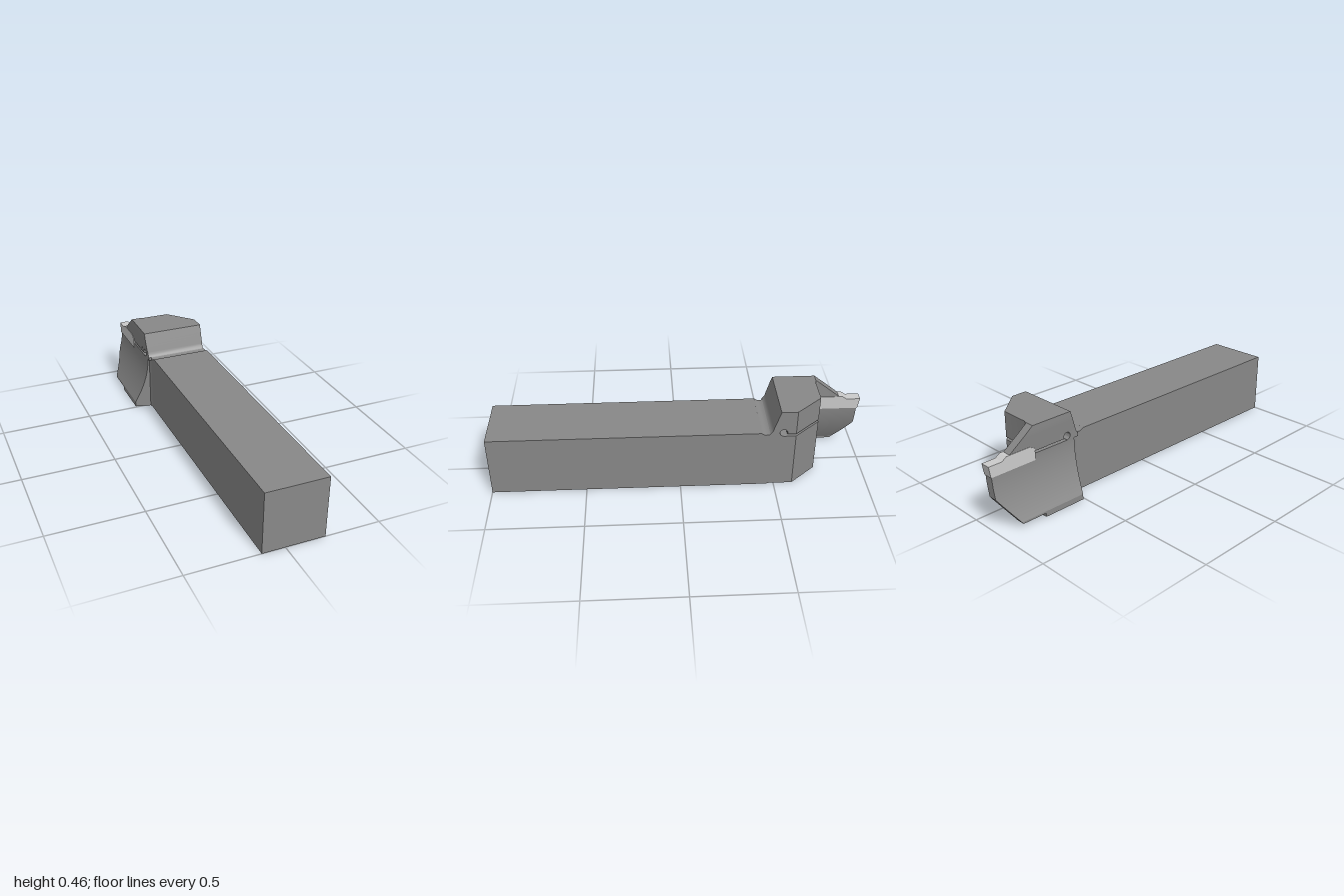
import * as THREE from 'three';
import { toCreasedNormals } from 'three/addons/utils/BufferGeometryUtils.js';

const steel = new THREE.MeshStandardMaterial({ color: 0x888888 });
const carbide = new THREE.MeshStandardMaterial({ color: 0xcccccc });

function mesh(name, geometry, material) {
  const m = new THREE.Mesh(toCreasedNormals(geometry, 0.45), material);
  m.name = name;
  return m;
}

// Side profile, drawn with (-z, y), extruded across x.
function across(shape, x0, x1) {
  const g = new THREE.ExtrudeGeometry(shape, { depth: x1 - x0, bevelEnabled: false, curveSegments: 24 });
  return g.rotateY(Math.PI / 2).translate(x0, 0, 0);
}

const profile = (pts) => new THREE.Shape(pts.map(([z, y]) => new THREE.Vector2(-z, y)));

// Solid from plan outlines (x, z) stacked at heights ys, counter-clockwise from above.
function stack(ys, plan) {
  const rings = ys.map((y) => plan(y).map(([x, z]) => [x, y, z]));
  const pos = [];
  const tri = (a, b, c) => pos.push(...a, ...b, ...c);
  const n = rings[0].length;
  for (let k = 0; k + 1 < rings.length; k++) {
    const a = rings[k], b = rings[k + 1];
    for (let i = 0; i < n; i++) {
      const j = (i + 1) % n;
      tri(a[i], a[j], b[j]);
      tri(a[i], b[j], b[i]);
    }
  }
  const cap = (r, flip) => {
    const contour = r.map((p) => new THREE.Vector2(p[0], -p[2]));
    for (const [a, b, c] of THREE.ShapeUtils.triangulateShape(contour, [])) {
      if (flip) tri(r[a], r[c], r[b]);
      else tri(r[a], r[b], r[c]);
    }
  };
  cap(rings[0], true);
  cap(rings[rings.length - 1], false);
  const g = new THREE.BufferGeometry();
  g.setAttribute('position', new THREE.Float32BufferAttribute(pos, 3));
  return g;
}

const range = (a, b, n) => Array.from({ length: n + 1 }, (_, i) => a + ((b - a) * i) / n);

// Concave flank of the head and blade.
function flankX(y) {
  if (y < 0.3) return -0.133 - 0.079 * Math.pow(Math.min(1, (0.3 - y) / 0.27), 1.87);
  return -0.133 - 0.007 * Math.min(1, (y - 0.3) / 0.12);
}

// Right and rear outline: chamfered corner, fillet, then the thin blade.
function rearOutline(y, frontZ, endZ) {
  const outer = flankX(y), inner = outer + 0.046;
  const pts = [[0.204, frontZ], [0.204, -0.6], [0.08, -0.74]];
  for (let i = 0; i <= 5; i++) {
    const a = (i / 5) * Math.PI / 2;
    pts.push([inner + 0.025 * (1 - Math.sin(a)), Math.max(endZ, -0.765 + 0.025 * Math.cos(a))]);
  }
  pts.push([inner, endZ], [outer, endZ]);
  return pts;
}

function lowerPlan(y) {
  const x = flankX(y);
  let end = -0.745;
  if (y >= 0.02) end = -0.88 - 0.105 * Math.min(1, (y - 0.02) / 0.145);
  return [[x, -0.488 + 0.25 * (x + 0.125)], [-0.125, -0.488], [-0.12, -0.465], ...rearOutline(y, -0.465, end)];
}

const clampEnd = (y) => Math.max(-0.9, -0.745 - 0.155 * (0.457 - y) / 0.12);

function upperPlan(y) {
  const front = -0.4815 - 0.0335 * (y - 0.352) / 0.105;
  return [[flankX(y), front], ...rearOutline(y, front, clampEnd(y))];
}

function jawPlan(y) {
  return [[flankX(y), -0.58], ...rearOutline(y, -0.58, clampEnd(y))];
}

export function createModel() {
  const model = new THREE.Group();
  model.name = 'groovingToolHolder';

  // Square shank with a relief groove before the head
  const shank = profile([[1, 0], [-0.465, 0], [-0.465, 0.326], [-0.455, 0.322],
    [-0.44, 0.322], [-0.43, 0.326], [-0.42, 0.333], [1, 0.333]]);
  model.add(mesh('shank', across(shank, -0.12, 0.209), steel));

  // Lower head with the curved support blade
  const ys = [0, 0.0199, 0.02, 0.03, ...range(0.045, 0.165, 8), ...range(0.18, 0.308, 8)];
  model.add(mesh('lowerHeadAndBlade', stack(ys, lowerPlan), steel));

  // Hinge of the clamp, with the round end of the slot
  const hinge = new THREE.Shape();
  hinge.moveTo(0.465, 0.308);
  hinge.lineTo(0.535, 0.308);
  hinge.lineTo(0.535, 0.31);
  hinge.absarc(0.535, 0.33, 0.02, -Math.PI / 2, -0.45, true);
  for (const [a, y] of [[0.58, 0.321], [0.58, 0.352], [0.4815, 0.352], [0.478, 0.342], [0.471, 0.331], [0.465, 0.326]]) {
    hinge.lineTo(a, y);
  }
  model.add(mesh('clampHinge', across(hinge, -0.134, 0.204), steel));

  // Clamp jaw above the slot and the sloped upper head
  model.add(mesh('clampJaw', stack(range(0.321, 0.352, 3), jawPlan), steel));
  model.add(mesh('upperHead', stack(range(0.352, 0.457, 8), upperPlan), steel));

  // Cutting insert with a stepped top
  const insert = profile([[-0.735, 0.275], [-0.99, 0.275], [-1, 0.335], [-0.925, 0.335],
    [-0.9, 0.352], [-0.765, 0.352], [-0.735, 0.335]]);
  model.add(mesh('cuttingInsert', across(insert, -0.138, -0.086), carbide));

  return model;
}
